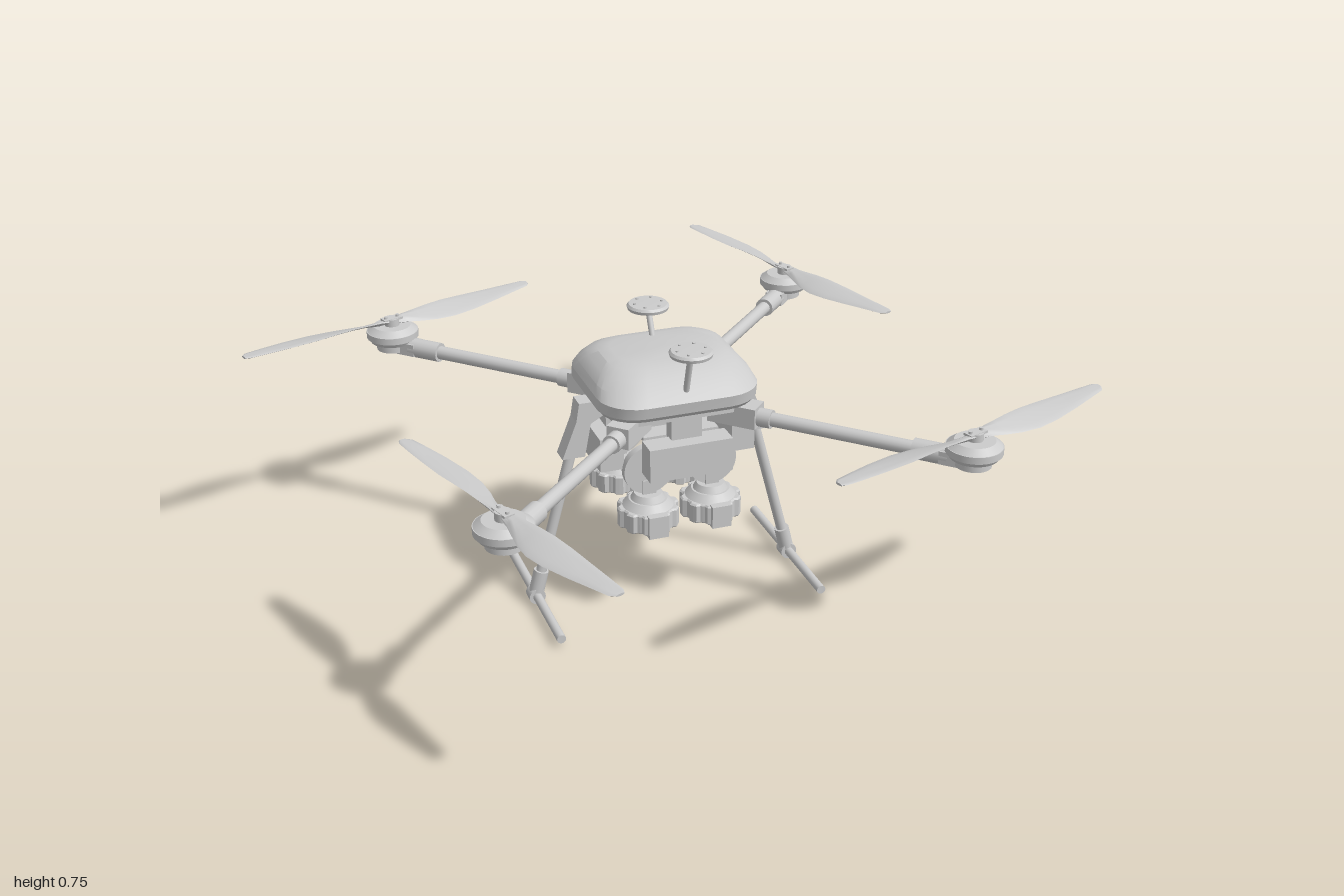
import * as THREE from 'three';
import { toCreasedNormals } from 'three/addons/utils/BufferGeometryUtils.js';

const mat = new THREE.MeshStandardMaterial({ color: 0xcccccc });

function add(parent, name, geo, x = 0, y = 0, z = 0) {
  const m = new THREE.Mesh(geo, mat);
  m.name = name;
  m.position.set(x, y, z);
  parent.add(m);
  return m;
}
const box = (p, name, w, h, d, x, y, z) => add(p, name, new THREE.BoxGeometry(w, h, d), x, y, z);
const cyl = (p, name, r, h, x, y, z, rTop = r, n = 24) =>
  add(p, name, new THREE.CylinderGeometry(rTop, r, h, n), x, y, z);

// Rod between two points
function rod(p, name, a, b, r, n = 16) {
  const A = new THREE.Vector3(...a), B = new THREE.Vector3(...b), d = B.clone().sub(A);
  const m = add(p, name, new THREE.CylinderGeometry(r, r, d.length(), n));
  m.position.copy(A).add(B).multiplyScalar(0.5);
  m.quaternion.setFromUnitVectors(new THREE.Vector3(0, 1, 0), d.normalize());
  return m;
}

// Closed skin over a row of rings, each anticlockwise seen from the last ring's side
function loft(rings, crease) {
  const n = rings[0].length, pos = [], idx = [];
  rings.forEach(r => r.forEach(p => pos.push(...p)));
  for (let k = 0; k < rings.length - 1; k++)
    for (let i = 0; i < n; i++) {
      const a = k * n + i, b = k * n + (i + 1) % n;
      idx.push(a, b, b + n, a, b + n, a + n);
    }
  const last = (rings.length - 1) * n;
  for (let i = 1; i < n - 1; i++) idx.push(0, i + 1, i, last, last + i, last + i + 1);
  const g = new THREE.BufferGeometry();
  g.setAttribute('position', new THREE.Float32BufferAttribute(pos, 3));
  g.setIndex(idx);
  return toCreasedNormals(g, crease);
}

// Rounded rectangle ring in the horizontal plane
function roundedRing(y, hx, zFront, zBack, r) {
  const ring = [], c = (zFront + zBack) / 2, hz = (zFront - zBack) / 2;
  for (let q = 0; q < 4; q++)
    for (let i = 0; i <= 6; i++) {
      const a = (q + i / 6) * Math.PI / 2;
      const sx = q === 0 || q === 3 ? 1 : -1, sz = q < 2 ? -1 : 1;
      ring.push([sx * (hx - r) + r * Math.cos(a), y, c + sz * (hz - r) - r * Math.sin(a)]);
    }
  return ring;
}

// Twisted blade along +x: station, chord, chord centre, twist, height
function bladeGeometry() {
  const stations = [
    [0.0, 0.030, 0, 0.1, 0], [0.04, 0.036, 0, 0.4, 0], [0.08, 0.052, 0.005, 0.38, 0], [0.12, 0.068, 0.01, 0.34, 0.001],
    [0.17, 0.08, 0.013, 0.28, 0.002], [0.23, 0.08, 0.012, 0.2, 0.003], [0.31, 0.066, 0.008, 0.13, 0.005],
    [0.38, 0.050, 0.003, 0.08, 0.007], [0.425, 0.038, 0, 0.05, 0.008], [0.437, 0.02, -0.003, 0.05, 0.008]];
  return loft(stations.map(([x, chord, zc, tw, y0], k) => {
    const ring = [], t = k < 2 ? 0.006 : 0.003;
    for (let i = 0; i < 12; i++) {
      const a = i / 12 * Math.PI * 2, u = Math.sin(a) * chord / 2, v = Math.cos(a) * t;
      ring.push([x, y0 + v * Math.cos(tw) - u * Math.sin(tw), zc + u * Math.cos(tw) + v * Math.sin(tw)]);
    }
    return ring;
  }), 1.0);
}

// Arm with motor and two-bladed propeller, along +x
function rotorArm(blade) {
  const g = new THREE.Group();
  g.name = 'rotorArm';
  box(g, 'armClamp', 0.13, 0.055, 0.06, 0.2, 0.543, 0);
  rod(g, 'armSleeve', [0.25, 0.54, 0], [0.3, 0.54, 0], 0.024);
  rod(g, 'armTube', [0.2, 0.54, 0], [0.76, 0.54, 0], 0.018);
  rod(g, 'motorSleeve', [0.67, 0.54, 0], [0.76, 0.54, 0], 0.026);
  box(g, 'motorBracket', 0.1, 0.034, 0.05, 0.79, 0.54, 0);
  cyl(g, 'motorMount', 0.045, 0.024, 0.82, 0.54, 0);
  cyl(g, 'motorBase', 0.06, 0.012, 0.82, 0.557, 0, 0.067, 32);
  cyl(g, 'motorBell', 0.07, 0.018, 0.82, 0.572, 0, 0.07, 32);
  cyl(g, 'motorCap', 0.068, 0.014, 0.82, 0.588, 0, 0.05, 32);
  const prop = new THREE.Group();
  prop.name = 'propeller';
  prop.position.set(0.82, 0.606, 0);
  prop.rotation.y = 0.3 + Math.PI / 4;
  cyl(prop, 'propellerHub', 0.02, 0.022, 0, -0.002, 0);
  box(prop, 'hubPlate', 0.055, 0.006, 0.026, 0, 0.007, 0);
  for (const s of [0, 1]) {
    add(prop, 'blade', blade).rotation.y = s * Math.PI;
    cyl(prop, 'hubBolt', 0.005, 0.008, s ? 0.018 : -0.018, 0.012, 0, 0.005, 8);
  }
  g.add(prop);
  return g;
}

// Slanted leg with skid, on the +x side
function landingLeg() {
  const g = new THREE.Group();
  g.name = 'landingLeg';
  const s = new THREE.Shape([[0.17, 0.57], [0.235, 0.57], [0.243, 0.52], [0.282, 0.42], [0.222, 0.42], [0.205, 0.51], [0.17, 0.53]]
    .map(p => new THREE.Vector2(...p)));
  add(g, 'legBracket', new THREE.ExtrudeGeometry(s, { depth: 0.05, bevelEnabled: false }), 0, 0, -0.025);
  rod(g, 'legTube', [0.235, 0.49, 0], [0.358, 0.03, 0], 0.014);
  rod(g, 'legSleeve', [0.341, 0.095, 0], [0.356, 0.035, 0], 0.02);
  rod(g, 'skidClamp', [0.358, 0.026, -0.018], [0.358, 0.026, 0.018], 0.022, 20);
  rod(g, 'skid', [0.358, 0.026, -0.235], [0.358, 0.026, 0.235], 0.012);
  return g;
}

// Disc antenna on a leaning mast
function antenna(parent, top, foot) {
  rod(parent, 'antennaMast', foot, top, 0.008, 12);
  const pts = [[0, -0.014], [0.02, -0.014], [0.04, -0.008], [0.053, -0.004], [0.055, 0.004], [0.05, 0.01], [0, 0.012]];
  add(parent, 'antennaDisc', toCreasedNormals(new THREE.LatheGeometry(pts.map(p => new THREE.Vector2(...p)), 32), 0.5), ...top);
  for (let i = 0; i < 6; i++) {
    const a = i / 6 * Math.PI * 2;
    cyl(parent, 'antennaScrew', 0.004, 0.004, top[0] + 0.037 * Math.cos(a), top[1] + 0.012, top[2] + 0.037 * Math.sin(a), 0.004, 8);
  }
}

// Scalloped canister with its round carrier plate, hung below the belly
function canister(side) {
  const g = new THREE.Group();
  g.name = 'canister';
  const s = new THREE.Shape();
  for (let i = 0; i < 60; i++) {
    const a = i / 60 * Math.PI * 2, r = 0.072 + 0.005 * Math.max(-0.8, Math.min(0.8, 1.6 * Math.cos(10 * a)));
    s[i ? 'lineTo' : 'moveTo'](r * Math.cos(a), r * Math.sin(a));
  }
  const geo = new THREE.ExtrudeGeometry(s, { depth: 0.046, bevelEnabled: true, bevelSize: 0.004, bevelThickness: 0.004, bevelSegments: 1 });
  geo.rotateX(-Math.PI / 2);
  add(g, 'canisterBody', geo, 0, 0.258, 0);
  cyl(g, 'canisterBase', 0.045, 0.012, 0, 0.252, 0);
  cyl(g, 'canisterShoulder', 0.068, 0.02, 0, 0.316, 0, 0.05);
  cyl(g, 'canisterNeck', 0.045, 0.016, 0, 0.334, 0, 0.036);
  rod(g, 'carrierPlate', [0, 0.408, -0.011], [0, 0.408, 0.011], 0.066, 32);
  box(g, 'canisterStem', 0.036, 0.05, 0.03, 0, 0.355, 0);
  box(g, 'canisterLatch', 0.052, 0.06, 0.022, 0, 0.281, side * 0.077);
  return g;
}

export function createModel() {
  const model = new THREE.Group();
  model.name = 'quadcopter';

  // Shell and belly
  add(model, 'shell', loft([
    [0.57, 0.2, 0.18, -0.195, 0.09], [0.582, 0.21, 0.19, -0.205, 0.1], [0.612, 0.21, 0.195, -0.2, 0.1],
    [0.635, 0.2, 0.165, -0.185, 0.1], [0.658, 0.18, 0.13, -0.16, 0.09], [0.673, 0.158, 0.1, -0.13, 0.08],
    [0.68, 0.13, 0.07, -0.1, 0.06]].map(a => roundedRing(...a)), 0.35));
  add(model, 'basePlate', loft([0.555, 0.572].map(y => roundedRing(y, 0.18, 0.17, -0.18, 0.06)), 0.4));
  box(model, 'frameCore', 0.15, 0.06, 0.15, 0, 0.53, 0);
  box(model, 'canisterRack', 0.2, 0.012, 0.26, 0, 0.495, 0);

  // Arms and rotors
  const blade = bladeGeometry();
  for (let k = 0; k < 4; k++) {
    const arm = rotorArm(blade);
    arm.rotation.y = Math.PI / 4 + k * Math.PI / 2;
    model.add(arm);
  }

  // Landing gear
  for (const s of [0, 1]) {
    const leg = landingLeg();
    leg.rotation.y = s * Math.PI;
    model.add(leg);
  }

  // Modules on all four sides of the belly
  for (let k = 0; k < 4; k++) {
    const side = new THREE.Group();
    side.name = 'sideModule';
    side.rotation.y = k * Math.PI / 2;
    box(side, 'moduleCase', 0.22, 0.09, 0.062, 0, 0.458, 0.177);
    box(side, 'moduleHanger', 0.08, 0.06, 0.04, 0, 0.53, 0.15);
    model.add(side);
  }

  // Canisters
  for (const x of [-1, 1]) for (const z of [-1, 1]) {
    const c = canister(z);
    c.position.set(x * 0.085, 0, z * 0.117);
    model.add(c);
  }

  // Antennas
  antenna(model, [0, 0.745, 0.197], [0, 0.6, 0.155]);
  antenna(model, [0, 0.745, -0.122], [0, 0.66, -0.08]);

  // Rear gimbal camera
  const cam = new THREE.Group();
  cam.name = 'rearCamera';
  box(cam, 'cameraBeam', 0.09, 0.014, 0.12, 0, 0.535, -0.2);
  box(cam, 'cameraPlate', 0.1, 0.01, 0.075, 0, 0.515, -0.28);
  cyl(cam, 'gimbalYaw', 0.02, 0.025, 0, 0.5, -0.275);
  rod(cam, 'gimbalArm', [0, 0.49, -0.265], [-0.035, 0.46, -0.26], 0.01);
  rod(cam, 'gimbalRoll', [-0.035, 0.46, -0.24], [-0.035, 0.46, -0.325], 0.014);
  rod(cam, 'gimbalPitch', [-0.05, 0.46, -0.305], [0.05, 0.46, -0.305], 0.02);
  box(cam, 'cameraYoke', 0.015, 0.05, 0.025, 0.045, 0.44, -0.305);
  box(cam, 'cameraBody', 0.08, 0.03, 0.05, 0, 0.425, -0.3);
  rod(cam, 'cameraLens', [0, 0.425, -0.32], [0, 0.425, -0.338], 0.013);
  model.add(cam);
  return model;
}
